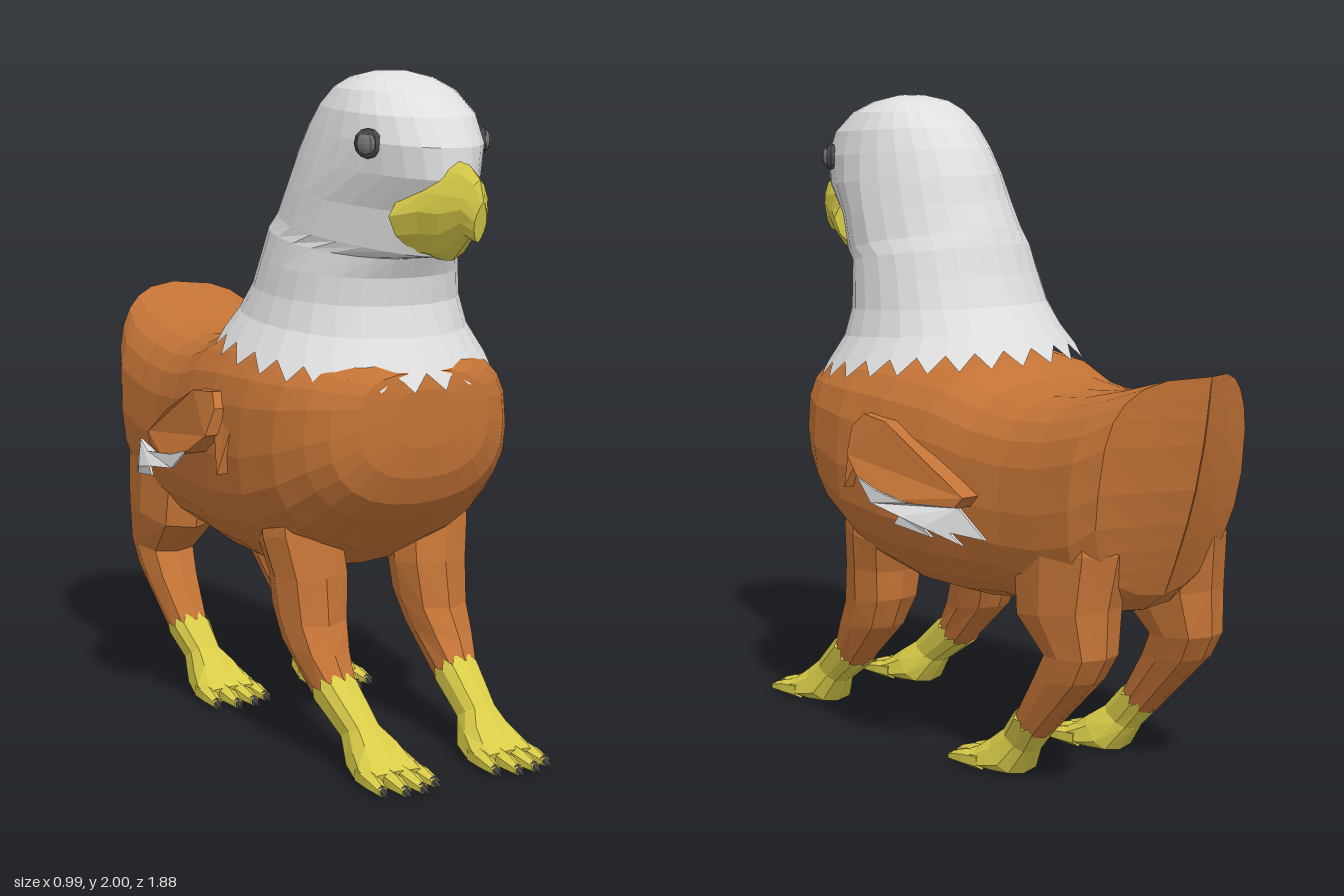
import * as THREE from 'three';

const mat = (name, color, side = THREE.FrontSide) =>
  new THREE.MeshStandardMaterial({ name, color, side, flatShading: true });

// Ring: [zA, yA, zB, yB, halfWidth, centreX, taper]; A and B are opposite points on the centre plane.
function ringPoints([zA, yA, zB, yB, w, cx = 0, taper = 0], n, eA, eB) {
  return Array.from({ length: n }, (_, i) => {
    const a = (i / n) * Math.PI * 2, c = Math.cos(a), s = Math.sin(a);
    const e = 2 / (c > 0 ? eA : eB);
    const t = Math.sign(c) * Math.abs(c) ** e, u = Math.sign(s) * Math.abs(s) ** e;
    return new THREE.Vector3(
      cx + u * w * (1 - taper * Math.max(0, t)),
      (yA + yB) / 2 + (t * (yA - yB)) / 2,
      (zA + zB) / 2 + (t * (zA - zB)) / 2);
  });
}

function fromTriangles(tris) {
  const g = new THREE.BufferGeometry().setFromPoints(tris.flat());
  g.computeVertexNormals();
  return g;
}

// Closed skin over rings; fringe adds a row of pointed feathers beyond the first ring.
function loft(rings, n, { eA = 2, eB = eA, rule = null, fringe = 0 } = {}) {
  const pts = rings.map((r) => ringPoints(r, n, eA, eB));
  if (rule) pts.flat().forEach(rule);
  const mid = (ring) => ring.reduce((m, p) => m.add(p), new THREE.Vector3()).divideScalar(n);
  const first = mid(pts[0]), last = mid(pts[pts.length - 1]);
  const tris = [];
  for (let i = 0; i < n; i++) {
    const j = (i + 1) % n;
    for (let k = 0; k + 1 < pts.length; k++) {
      const [p, q] = [pts[k], pts[k + 1]];
      tris.push([p[i], p[j], q[j]], [p[i], q[j], q[i]]);
    }
    tris.push([first, pts[0][j], pts[0][i]]);
    const end = pts[pts.length - 1];
    tris.push([last, end[i], end[j]]);
  }
  // Turn the skin outward
  const volume = tris.reduce((v, [a, b, c]) =>
    v + a.clone().sub(first).dot(b.clone().sub(first).cross(c.clone().sub(first))), 0);
  if (volume < 0) tris.forEach((t) => t.reverse());
  if (fringe) {
    for (let i = 0; i < n; i++) {
      const j = (i + 1) % n;
      const m = pts[0][i].clone().add(pts[0][j]).multiplyScalar(0.5);
      const up = pts[1][i].clone().add(pts[1][j]).multiplyScalar(0.5);
      const tip = m.clone().add(m.clone().sub(up).setLength(fringe));
      tris.push(volume < 0 ? [pts[0][j], pts[0][i], tip] : [tip, pts[0][j], pts[0][i]]);
    }
  }
  return fromTriangles(tris);
}

// Plate from a (z, y) outline, with x set by inner and outer rules
function sidePlate(outline, inner, outer) {
  const shape = new THREE.Shape(outline.map(([z, y]) => new THREE.Vector2(-z, y)));
  const g = new THREE.ExtrudeGeometry(shape, { depth: 1, steps: 1, bevelEnabled: false });
  g.rotateY(Math.PI / 2);
  const p = g.attributes.position;
  for (let i = 0; i < p.count; i++) {
    const y = p.getY(i), z = p.getZ(i);
    p.setX(i, p.getX(i) > 0.5 ? outer(z, y) : inner(z, y));
  }
  g.computeVertexNormals();
  return g;
}

function mirrored(geometry) {
  const g = geometry.index ? geometry.toNonIndexed() : geometry.clone();
  g.scale(-1, 1, 1);
  const p = g.attributes.position, a = new THREE.Vector3(), b = new THREE.Vector3();
  for (let i = 0; i < p.count; i += 3) {
    a.fromBufferAttribute(p, i);
    b.fromBufferAttribute(p, i + 1);
    p.setXYZ(i, b.x, b.y, b.z);
    p.setXYZ(i + 1, a.x, a.y, a.z);
  }
  g.computeVertexNormals();
  return g;
}

export function createModel() {
  const model = new THREE.Group();
  model.name = 'eagleHeadedCreature';
  const brown = mat('brown', 0xc37336);
  const white = mat('white', 0xdedede, THREE.DoubleSide);
  const yellow = mat('yellow', 0xd8cb48, THREE.DoubleSide);
  const dark = mat('darkGrey', 0x4a484c);
  const grey = mat('eyeGrey', 0x747474);

  const add = (name, geometry, material) => {
    const m = new THREE.Mesh(geometry, material);
    m.name = name;
    model.add(m);
  };
  const addPair = (name, geometry, material) => {
    add(name + 'Left', geometry, material);
    add(name + 'Right', mirrored(geometry), material);
  };

  // Body, from chest to the pointed rump; the rump swells back and is swept at the sides
  const section = (z, bottom, top, w) => [z, top, z, bottom, w];
  const rump = (w) => [-0.935, 1.255, -0.75, 0.6, w];
  add('body', loft([
    section(0.668, 0.93, 1.1, 0.1),
    section(0.655, 0.84, 1.15, 0.22),
    section(0.62, 0.76, 1.18, 0.295),
    section(0.56, 0.7, 1.2, 0.345),
    section(0.46, 0.61, 1.22, 0.39),
    section(0.3, 0.52, 1.24, 0.415),
    section(0.1, 0.485, 1.24, 0.41),
    section(-0.1, 0.485, 1.22, 0.385),
    section(-0.25, 0.505, 1.17, 0.355),
    section(-0.4, 0.505, 1.155, 0.335),
    section(-0.55, 0.51, 1.17, 0.325),
    [-0.72, 1.21, -0.66, 0.54, 0.315],
    rump(0.275), rump(0.14), rump(0.002),
  ], 24, {
    eA: 3, eB: 2.3,
    rule: (p) => {
      if (p.z > -0.735) return;
      const h = (p.y - 0.6) / 0.655;
      p.z += (0.25 + 0.25 * h) * Math.abs(p.x) - 0.035 * Math.sin(Math.PI * h);
    },
  }), brown);

  // Neck and head with a jagged collar
  add('headAndNeck', loft([
    [0.662, 1.145, -0.14, 1.25, 0.37],
    [0.605, 1.24, -0.1, 1.3, 0.322],
    [0.575, 1.33, -0.04, 1.37, 0.297],
    [0.58, 1.41, 0, 1.46, 0.284],
    [0.61, 1.468, 0.03, 1.55, 0.272, 0, 0.1],
    [0.72, 1.482, 0.05, 1.6, 0.262, 0, 0.4],
    [0.77, 1.6, 0.09, 1.68, 0.25, 0, 0.45],
    [0.825, 1.7, 0.12, 1.76, 0.235, 0, 0.3],
    [0.815, 1.79, 0.17, 1.84, 0.217, 0, 0.1],
    [0.76, 1.87, 0.23, 1.905, 0.197],
    [0.67, 1.938, 0.295, 1.952, 0.163],
    [0.58, 1.976, 0.35, 1.98, 0.115],
    [0.5, 1.996, 0.42, 1.996, 0.04],
  ], 26, { eA: 2.15, fringe: 0.06 }), white);

  // Hooked beak
  add('beak', loft([
    [0.69, 1.72, 0.69, 1.478, 0.148],
    [0.8, 1.757, 0.73, 1.474, 0.105],
    [0.87, 1.747, 0.79, 1.478, 0.075],
    [0.922, 1.71, 0.87, 1.545, 0.045],
    [0.94, 1.65, 0.912, 1.538, 0.02],
  ], 12, { eA: 1.4, eB: 1.7 }), yellow);

  // Eyes
  const ball = (r, x, z) => new THREE.SphereGeometry(r, 8, 6).scale(0.5, 1, 1)
    .rotateY(-0.6).translate(x, 1.8, z);
  addPair('eyeRim', ball(0.043, 0.188, 0.645), dark);
  addPair('eye', ball(0.03, 0.2, 0.653), grey);

  // Small folded wings
  const outer = (z, y) => 0.483 - 0.33 * Math.max(0, y - 0.86) - 0.3 * Math.max(0, -0.05 - z);
  addPair('wing', sidePlate([
    [0.19, 1.01], [0.15, 1.055], [0.03, 1.045], [-0.15, 0.96], [-0.32, 0.865],
    [-0.29, 0.83], [-0.07, 0.83], [0.085, 0.865], [0.18, 0.93],
  ], () => 0.3, outer), brown);
  addPair('wingShoulder', sidePlate([
    [0.255, 1.03], [0.19, 0.99], [0.17, 0.92], [0.22, 0.82],
  ], () => 0.3, (z, y) => outer(z, y) - 0.04), brown);
  const featherX = (z, y) => 0.474 + 0.12 * (0.87 - y) - 0.48 * Math.max(0, -0.2 - z);
  addPair('wingFeathers', sidePlate([
    [0.095, 0.875], [0.015, 0.81], [-0.13, 0.793], [-0.11, 0.768], [-0.26, 0.748], [-0.23, 0.775],
    [-0.35, 0.733], [-0.31, 0.767], [-0.415, 0.755], [-0.33, 0.84], [-0.15, 0.835], [0, 0.85],
  ], featherX, (z, y) => featherX(z, y) + 0.008), white);

  // Feathered legs
  addPair('frontLeg', loft([
    [0.4, 0.85, 0.18, 0.85, 0.12, 0.22],
    [0.43, 0.66, 0.21, 0.62, 0.122, 0.222],
    [0.455, 0.53, 0.24, 0.52, 0.113, 0.207],
    [0.475, 0.39, 0.245, 0.43, 0.1, 0.21],
    [0.52, 0.31, 0.29, 0.33, 0.083, 0.215],
    [0.565, 0.24, 0.475, 0.155, 0.057, 0.21],
  ], 8, { eA: 2.6 }), brown);
  addPair('hindLeg', loft([
    [-0.36, 0.95, -0.71, 0.95, 0.09, 0.18],
    [-0.36, 0.74, -0.76, 0.74, 0.123, 0.185],
    [-0.39, 0.52, -0.735, 0.58, 0.115, 0.2],
    [-0.51, 0.42, -0.735, 0.44, 0.09, 0.205],
    [-0.46, 0.34, -0.69, 0.36, 0.08, 0.21],
    [-0.37, 0.21, -0.465, 0.145, 0.057, 0.21],
  ], 8, { eA: 2.6 }), brown);

  // Scaly feet with four clawed toes each
  const addFoot = (name, dz, cuff) => {
    const cx = 0.19;
    const move = (r) => [r[0] + dz, r[1], r[2] + dz, r[3], r[4], r[5] ?? cx];
    addPair(name, loft([
      cuff,
      [0.69, 0.145, 0.58, 0.085, 0.054, 0.2],
      [0.74, 0.11, 0.64, 0.003, 0.082],
      [0.79, 0.07, 0.72, 0, 0.1],
      [0.83, 0.05, 0.82, 0, 0.104],
    ].map(move), 10, { eA: 2.5, fringe: 0.03 }), yellow);
    for (let i = 0; i < 4; i++) {
      const s = i - 1.5, back = Math.abs(s) > 1 ? -0.03 : 0;
      const slice = (z, top, bottom, w) =>
        move([z + back, top, z + back, bottom, w, cx + s * (0.05 + (z - 0.79) * 0.06)]);
      addPair(name + 'Toe' + (i + 1), loft([
        slice(0.78, 0.06, 0, 0.027), slice(0.85, 0.052, 0, 0.026), slice(0.915, 0.03, 0.003, 0.016),
      ], 6), yellow);
      addPair(name + 'Claw' + (i + 1), loft([
        slice(0.905, 0.036, 0.005, 0.014), slice(0.937, 0.016, 0.007, 0.004),
      ], 6), dark);
    }
  };
  addFoot('frontFoot', 0, [0.565, 0.25, 0.465, 0.16, 0.066, 0.21]);
  addFoot('hindFoot', -0.985, [0.615, 0.22, 0.52, 0.15, 0.066, 0.21]);

  return model;
}
